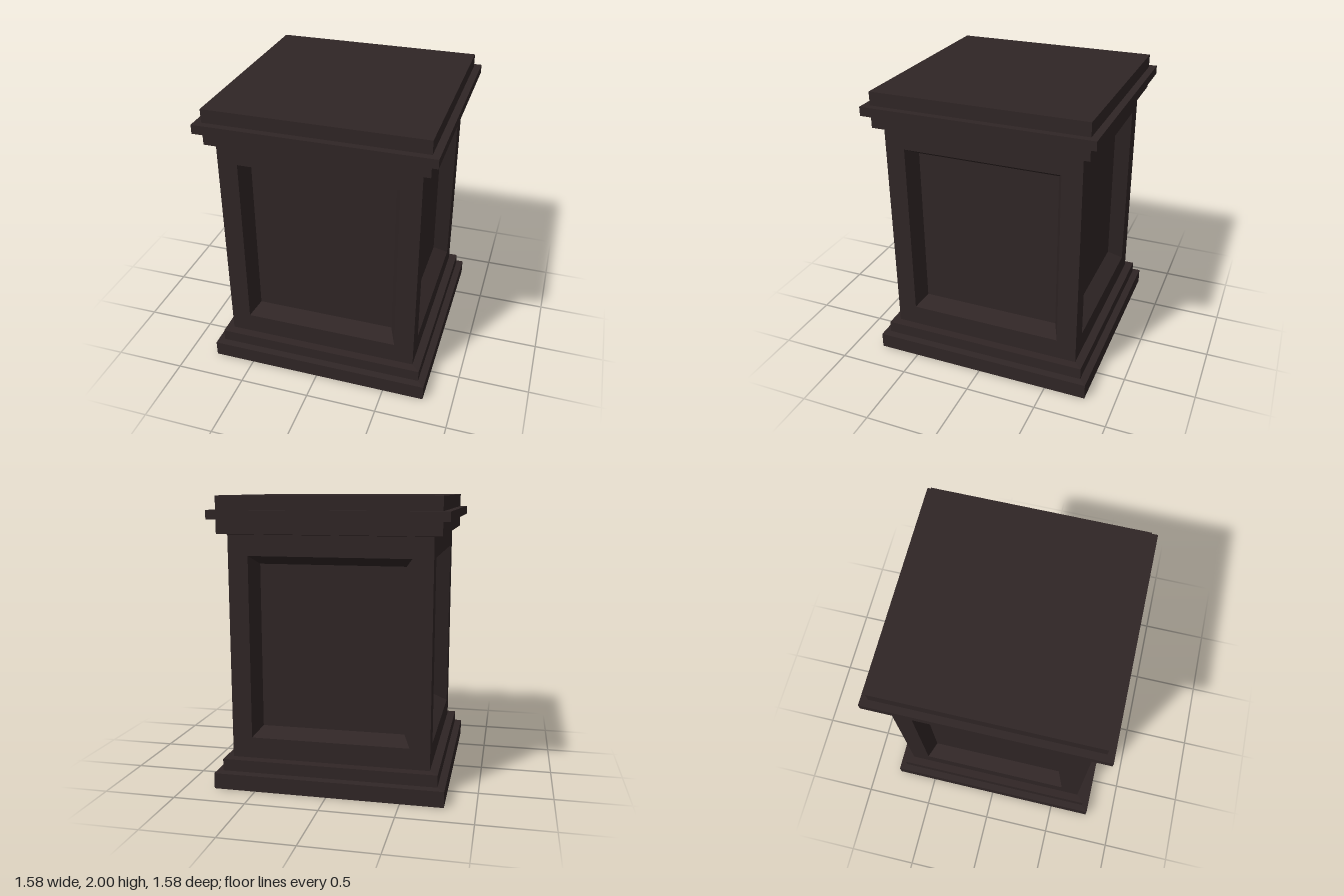
import * as THREE from 'three';

const darkWood = new THREE.MeshStandardMaterial({ color: 0x2f2525 });

// Square moulding swept from [half width, height] steps, with crisp faces
function moulding(name, profile) {
  const points = profile.map(([half, y]) => new THREE.Vector2(half * Math.SQRT2, y));
  const geometry = new THREE.LatheGeometry(points, 4, Math.PI / 4).toNonIndexed();
  geometry.computeVertexNormals();
  const mesh = new THREE.Mesh(geometry, darkWood);
  mesh.name = name;
  return mesh;
}

// Face built from nested rectangles { w: half width, y0, y1, z }; the last one is filled
function steppedFace(rects) {
  const loops = rects.map(({ w, y0, y1, z }) => [[-w, y0, z], [w, y0, z], [w, y1, z], [-w, y1, z]]);
  const positions = [];
  const quad = (a, b, c, d) => positions.push(...a, ...b, ...c, ...a, ...c, ...d);
  for (let i = 0; i < loops.length - 1; i++) {
    const outer = loops[i], inner = loops[i + 1];
    for (let k = 0; k < 4; k++) {
      const n = (k + 1) % 4;
      quad(outer[k], outer[n], inner[n], inner[k]);
    }
  }
  quad(...loops[loops.length - 1]);
  const geometry = new THREE.BufferGeometry();
  geometry.setAttribute('position', new THREE.Float32BufferAttribute(positions, 3));
  geometry.computeVertexNormals();
  return geometry;
}

export function createModel() {
  const pedestal = new THREE.Group();
  pedestal.name = 'pedestal';

  // Stepped plinth with slightly sloped ledges
  pedestal.add(moulding('plinth', [
    [0, 0], [0.792, 0], [0.792, 0.11], [0.743, 0.117],
    [0.743, 0.2], [0.686, 0.205], [0, 0.205],
  ]));

  // Four sides, each a frame around a bevelled recessed panel
  const body = 0.686, depth = 0.107;
  const side = steppedFace([
    { w: body, y0: 0.2, y1: 1.755, z: body },
    { w: 0.548, y0: 0.35, y1: 1.605, z: body },
    { w: 0.498, y0: 0.41, y1: 1.545, z: body - depth },
  ]);
  const sides = new THREE.Group();
  sides.name = 'panelledBody';
  ['frontPanel', 'leftPanel', 'backPanel', 'rightPanel'].forEach((name, i) => {
    const mesh = new THREE.Mesh(side, darkWood);
    mesh.name = name;
    mesh.rotation.y = i * Math.PI / 2;
    sides.add(mesh);
  });
  pedestal.add(sides);

  // Cornice with a projecting band and a flat top
  pedestal.add(moulding('cornice', [
    [0, 1.746], [0.686, 1.746], [0.743, 1.752], [0.743, 1.845],
    [0.792, 1.845], [0.792, 1.907], [0.743, 1.907], [0.743, 2], [0, 2],
  ]));

  return pedestal;
}
